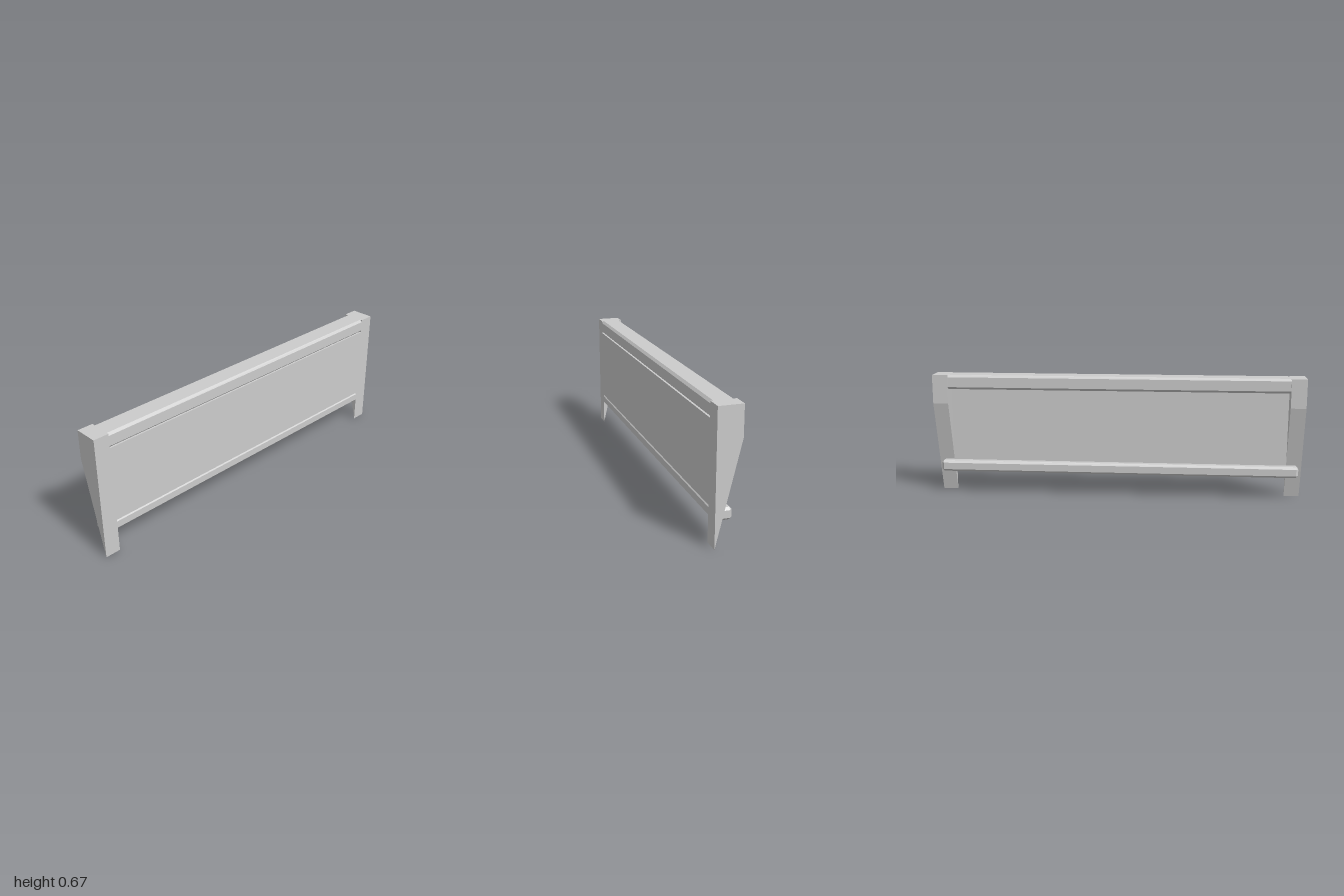
import * as THREE from 'three';
import { ConvexGeometry } from 'three/addons/geometries/ConvexGeometry.js';

const FRONT = 0.062; // shared front plane of posts, panel and rails
const POST_INNER = 0.918;
const BEVEL = 0.012;

const material = new THREE.MeshStandardMaterial({ color: 0xcccccc, flatShading: true });

function addMesh(group, name, geometry) {
  const mesh = new THREE.Mesh(geometry, material);
  mesh.name = name;
  group.add(mesh);
  return mesh;
}

// Box with every edge chamfered: three points around each corner
function chamferedBox(w, h, d, c) {
  const points = [];
  for (const sx of [-1, 1]) for (const sy of [-1, 1]) for (const sz of [-1, 1]) {
    const x = w / 2, y = h / 2, z = d / 2;
    points.push(
      new THREE.Vector3(sx * x, sy * (y - c), sz * (z - c)),
      new THREE.Vector3(sx * (x - c), sy * y, sz * (z - c)),
      new THREE.Vector3(sx * (x - c), sy * (y - c), sz * z)
    );
  }
  return new ConvexGeometry(points);
}

// Horizontal rail whose chamfered ends are let into the posts
function addRail(group, name, bottom, top, back) {
  const rail = addMesh(group, name, chamferedBox(1.96, top - bottom, FRONT - back, BEVEL));
  rail.position.set(0, (bottom + top) / 2, (FRONT + back) / 2);
}

export function createModel() {
  const group = new THREE.Group();
  group.name = 'barrierPanel';

  // End posts: straight front, back tapering down to a sharp foot
  const profile = new THREE.Shape([
    [-FRONT, 0], [FRONT, 0.515], [FRONT, 0.67], [-FRONT, 0.67],
  ].map(([x, y]) => new THREE.Vector2(x, y)));
  const postGeometry = new THREE.ExtrudeGeometry(profile, { depth: 1 - POST_INNER, bevelEnabled: false });
  postGeometry.rotateY(Math.PI / 2); // profile x becomes -z, depth becomes +x
  addMesh(group, 'leftPost', postGeometry).position.x = POST_INNER;
  addMesh(group, 'rightPost', postGeometry).position.x = -1;

  // Flat panel between the rails
  const panel = addMesh(group, 'panel', new THREE.BoxGeometry(2 * POST_INNER, 0.408, 0.05));
  panel.position.set(0, 0.389, FRONT - 0.025);

  // Rails above and below the panel
  addRail(group, 'topRail', 0.592, 0.67, -0.055);
  addRail(group, 'bottomRail', 0.125, 0.186, -0.03);

  return group;
}
